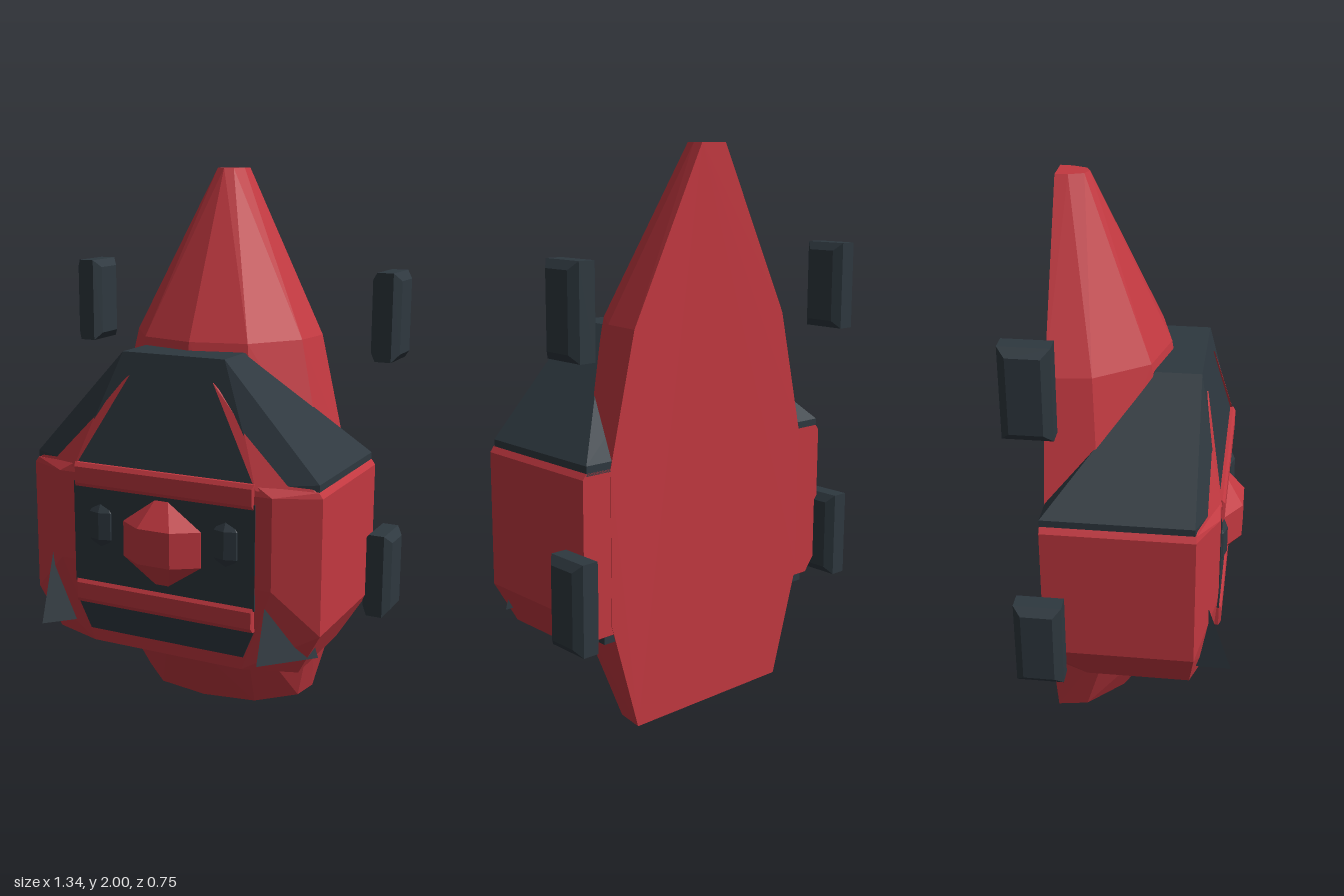
import * as THREE from 'three';
import { ConvexGeometry } from 'three/addons/geometries/ConvexGeometry.js';

export function createModel() {
  const model = new THREE.Group();
  const red = new THREE.MeshStandardMaterial({ color: 0xc23840 });
  red.name = 'red paint';
  const dark = new THREE.MeshStandardMaterial({ color: 0x2e383f });
  dark.name = 'dark slate';

  const add = (name, geometry, material) => {
    const mesh = new THREE.Mesh(geometry, material);
    mesh.name = name;
    model.add(mesh);
    return mesh;
  };
  // Faceted solid wrapped around corner points
  const solid = (pts) => new ConvexGeometry(pts.map((p) => new THREE.Vector3(...p)));
  const mirrored = (pts) => pts.concat(pts.map(([x, y, z]) => [-x, y, z]));
  // Thin plate: an outline thickened towards the back
  const slab = (pts, depth) => solid(pts.concat(pts.map(([x, y, z]) => [x, y, z - depth])));
  // Faceted turned shape
  const turned = (profile, sides, angle) => {
    const g = new THREE.LatheGeometry(profile.map((p) => new THREE.Vector2(...p)), sides, angle).toNonIndexed();
    g.computeVertexNormals();
    return g;
  };

  // Pointed hull with a flat back: height, half width, depth
  const hullPoints = [];
  for (const [y, w, d] of [[0, 0.345, 0.27], [0.4, 0.46, 0.55], [0.95, 0.46, 0.465], [1.4, 0.355, 0.39], [2, 0.055, 0.11]]) {
    for (const [u, v] of [[1, 0], [0.95, 0.4], [0.58, 0.87], [0, 1]]) hullPoints.push([w * u, y, -0.29 + d * v]);
  }
  add('hull', solid(mirrored(hullPoints)), red);

  // Main body with bevelled cheeks
  add('body', solid(mirrored([
    [0.49, 0.285, -0.15], [0.49, 0.285, 0.22], [0.3, 0.285, 0.285],
    [0.52, 0.37, -0.288], [0.575, 0.44, -0.288], [0.575, 0.44, 0.24],
    [0.42, 0.6, 0.31], [0.42, 0.93, 0.31], [0.575, 0.93, 0.24], [0.575, 0.93, -0.288],
    [0.56, 0.95, -0.288], [0.56, 0.95, 0.24], [0.36, 0.965, 0.305],
  ])), red);

  // Sloping cabin
  add('cabin', solid(mirrored([
    [0.56, 0.94, -0.288], [0.56, 0.975, -0.288], [0.56, 0.94, 0.235], [0.56, 0.975, 0.235],
    [0.36, 0.96, 0.302], [0.2, 1.37, 0.06], [0.2, 1.37, 0.222],
  ])), dark);

  // Windscreen pillars
  for (const s of [-1, 1]) {
    add('windscreenPillar', slab([
      [s * 0.36, 0.95, 0.312], [s * 0.575, 0.93, 0.24],
      [s * 0.29, 1.15, 0.263], [s * 0.165, 1.29, 0.242],
    ], 0.06), red);
  }

  // Face panel, lower vent and the bars around them
  add('facePanel', slab([[-0.36, 0.52, 0.313], [0.36, 0.52, 0.313], [0.36, 0.9, 0.313], [-0.36, 0.9, 0.313]], 0.009), dark);
  add('lowerVent', slab([[-0.31, 0.335, 0.294], [0.31, 0.335, 0.294], [0.355, 0.44, 0.302], [-0.355, 0.44, 0.302]], 0.009), dark);
  for (const [y, name] of [[0.925, 'upperBar'], [0.485, 'lowerBar']]) {
    add(name, solid(mirrored([
      [0.355, y - 0.045, 0.27], [0.355, y - 0.045, 0.312], [0.35, y - 0.03, 0.321],
      [0.35, y + 0.03, 0.321], [0.355, y + 0.045, 0.312], [0.355, y + 0.045, 0.27],
    ])), red);
  }

  // Nose
  const nose = add('nose', turned(
    [[0, -0.17], [0.055, -0.17], [0.168, -0.07], [0.168, 0.06], [0.05, 0.17], [0, 0.17]], 8, Math.PI / 8), red);
  nose.position.set(0, 0.715, 0.27);
  nose.scale.z = 0.68;

  // Eyes
  for (const s of [-1, 1]) {
    const eye = add('eye', turned(
      [[0, -0.11], [0.015, -0.105], [0.06, -0.05], [0.06, 0.05], [0.015, 0.105], [0, 0.11]], 8, 0), dark);
    eye.position.set(s * 0.25, 0.745, 0.288);
    eye.scale.z = 0.7;
  }

  // Pointed lower fins, both facing the same way
  for (const x of [-0.48, 0.395]) {
    add('fin', solid([[x, 0.345, 0.368], [x, 0.345, 0.2], [x + 0.16, 0.345, 0.2], [x, 0.85, 0.2]]), dark);
  }

  // Rear undertray showing below the body's back edge
  const tray = add('undertray', new THREE.BoxGeometry(0.98, 0.2, 0.1), dark);
  tray.position.set(0, 0.443, -0.237);

  // Wheels with bevelled side faces
  const wheelPoints = [];
  for (const [x, inset] of [[0.054, 0.028], [0.03, 0]]) {
    for (const y of [-1, 1]) {
      for (const z of [-1, 1]) wheelPoints.push([x, y * (0.158 - inset), z * (0.083 - inset)]);
    }
  }
  const wheelShape = solid(mirrored(wheelPoints));
  for (const s of [-1, 1]) {
    for (const y of [0.523, 1.485]) add('wheel', wheelShape, dark).position.set(s * 0.616, y, -0.29);
  }
  return model;
}
